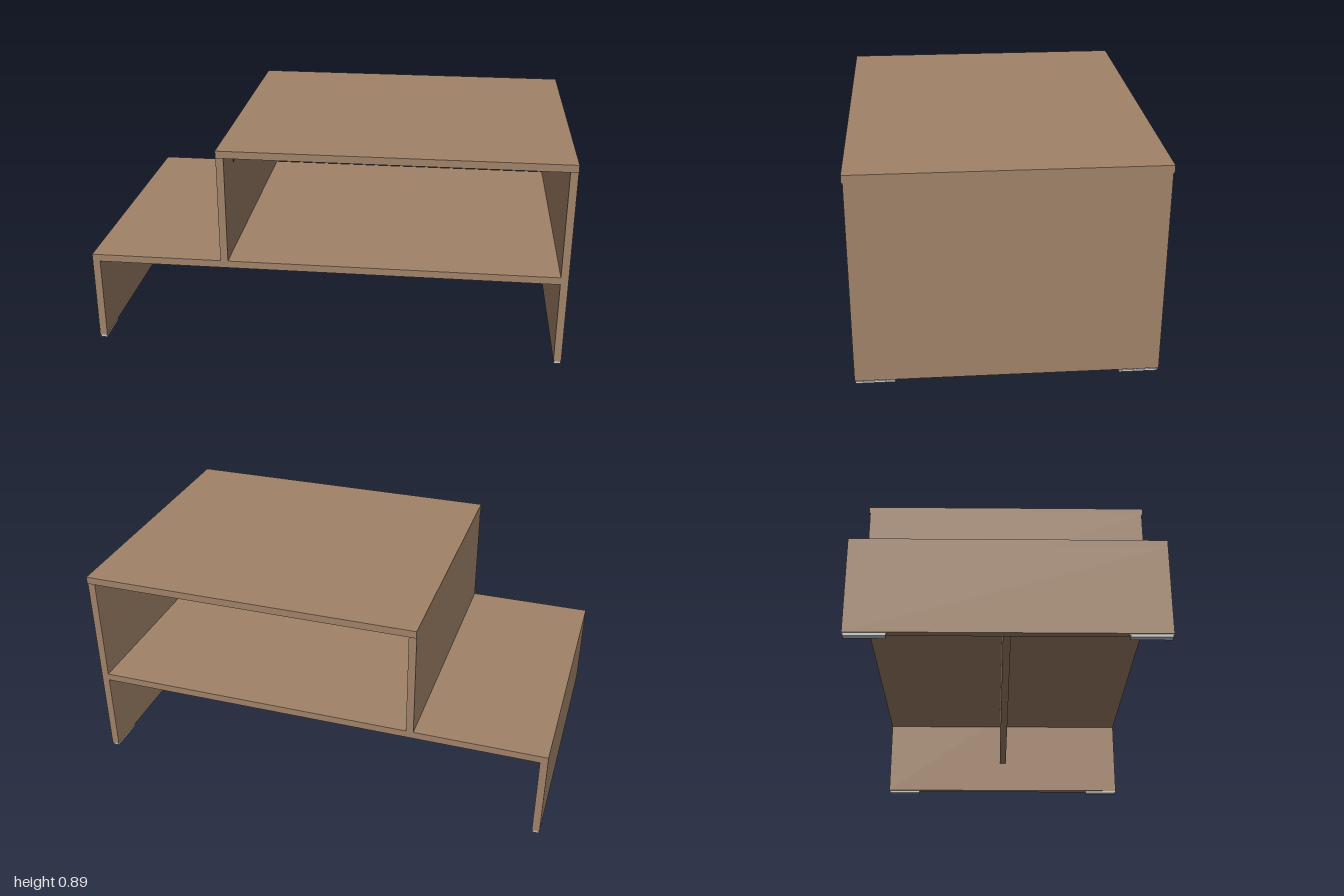
import * as THREE from 'three';

export function createModel() {
  const model = new THREE.Group();
  model.name = 'steppedStand';
  const mat = (name, color) => {
    const m = new THREE.MeshStandardMaterial({ color });
    m.name = name;
    return m;
  };
  const wood = mat('brown wood', 0xa08268);
  const plastic = mat('grey plastic', 0xc4c6c8);
  const metal = mat('dark fitting', 0x5a4c40);

  // box given by its two extreme corners
  const box = (name, x0, x1, y0, y1, z0, z1, material = wood) => {
    const mesh = new THREE.Mesh(new THREE.BoxGeometry(x1 - x0, y1 - y0, z1 - z0), material);
    mesh.position.set((x0 + x1) / 2, (y0 + y1) / 2, (z0 + z1) / 2);
    mesh.name = name;
    model.add(mesh);
  };

  // boards
  const D = 0.605;
  box('topBoard', -0.443, 0.998, 0.864, 0.895, -0.61, 0.61);
  box('tallSidePanel', 0.966, 0.998, 0.013, 0.864, -D, D);
  box('upperDivider', -0.443, -0.411, 0.404, 0.864, -D, D);
  box('lowerShelf', -1, 0.966, 0.373, 0.404, -D, D);
  box('shortSidePanel', -1, -0.968, 0.013, 0.373, -D, D);
  box('centreStretcher', -0.968, 0.966, 0.163, 0.373, -0.016, 0.016);

  // glide feet under both side panels
  for (const x of [-0.984, 0.982]) {
    for (const s of [-1, 1]) {
      const z = s * 0.523;
      box('footPad', x - 0.014, x + 0.014, 0, 0.009, z - 0.078, z + 0.078, plastic);
      box('footPlate', x - 0.011, x + 0.011, 0.009, 0.013, z - 0.082, z + 0.082, plastic);
    }
  }

  // small round fittings, facing along the given axis
  const discGeo = new THREE.CylinderGeometry(0.009, 0.009, 0.004, 16);
  const fitting = (x, y, z, axis) => {
    const disc = new THREE.Mesh(discGeo, metal);
    disc.position.set(x, y, z);
    if (axis === 'x') disc.rotation.z = Math.PI / 2;
    if (axis === 'z') disc.rotation.x = Math.PI / 2;
    disc.name = 'fitting';
    model.add(disc);
  };
  for (const x of [-0.886, 0.886]) fitting(x, 0.195, 0.016, 'z');
  for (const z of [-0.42, 0.42]) {
    fitting(-0.968, 0.29, z, 'x');
    fitting(-0.411, 0.79, z, 'x');
  }
  return model;
}
